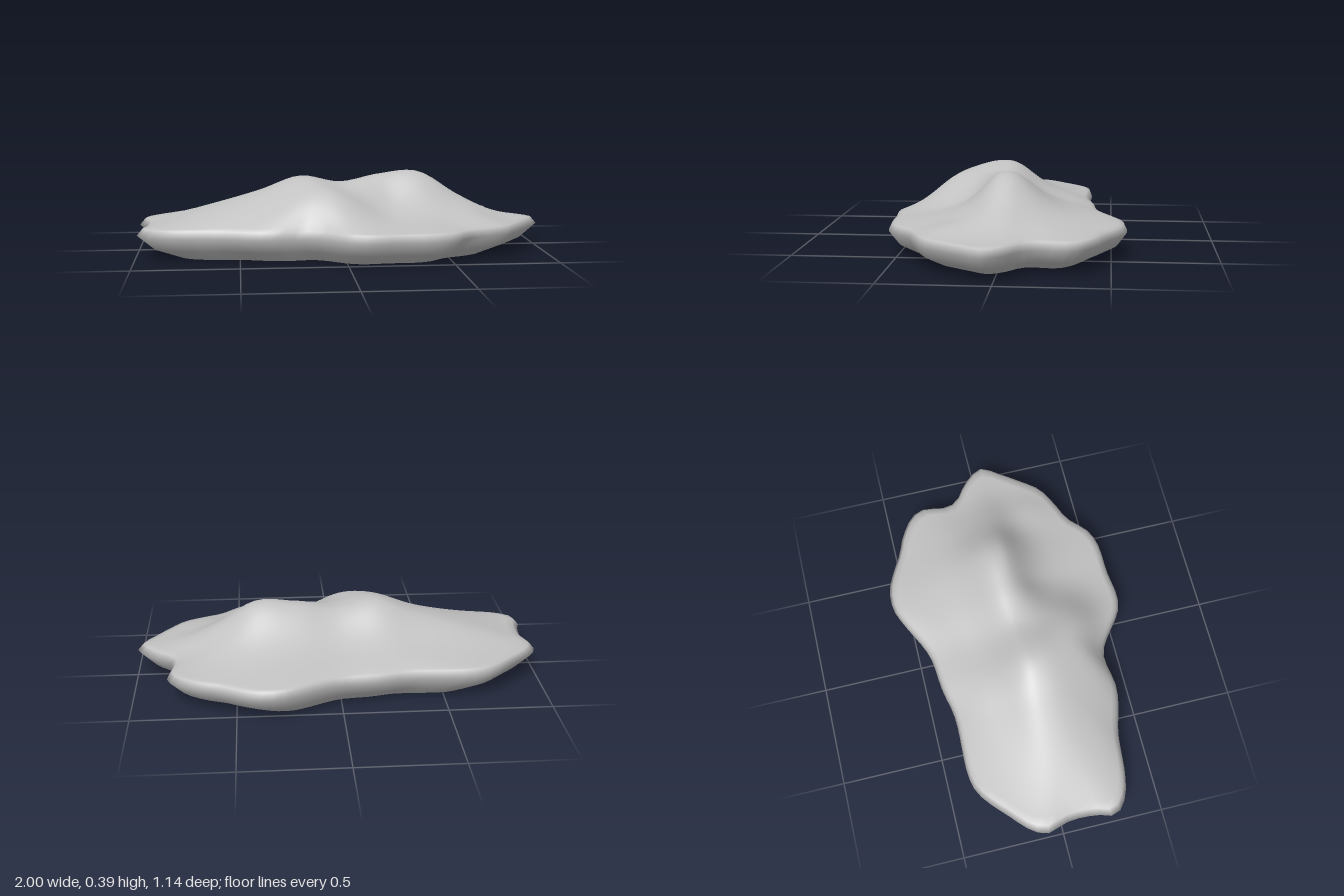
import * as THREE from 'three';

const SEG = 96;        // points around the outline
const TOP_RINGS = 24;  // rings from rim to centre
const RIM_Y = 0.15;
const LIP = 0.97;

// Plan outline as [x, z], from the right tip round the front
const OUTLINE = [
  [0.998, 0.05], [0.95, 0.13], [0.88, 0.23], [0.8, 0.33], [0.7, 0.385], [0.6, 0.43], [0.5, 0.52],
  [0.41, 0.55], [0.25, 0.555], [0.1, 0.57], [0.02, 0.55], [-0.05, 0.5], [-0.14, 0.435],
  [-0.2, 0.415], [-0.36, 0.435], [-0.46, 0.42], [-0.6, 0.38], [-0.82, 0.355], [-0.93, 0.32],
  [-0.99, 0.26], [-0.97, 0.17], [-0.965, 0.05], [-0.975, 0], [-1, -0.08], [-0.97, -0.15],
  [-0.88, -0.24], [-0.74, -0.36], [-0.65, -0.39], [-0.33, -0.39], [-0.18, -0.42], [0, -0.44],
  [0.08, -0.47], [0.2, -0.53], [0.3, -0.57], [0.41, -0.57], [0.5, -0.535], [0.6, -0.48],
  [0.7, -0.44], [0.8, -0.37], [0.83, -0.31], [0.815, -0.17], [0.85, -0.11], [0.93, -0.05],
];

// Ridge height above the rim, evenly spaced from x = -1 to x = 1
const ridge = new THREE.SplineCurve(
  [0.02, 0.05, 0.095, 0.15, 0.218, 0.185, 0.22, 0.23, 0.115, 0.03, 0.01]
    .map((h, i) => new THREE.Vector2(-1 + i * 0.2, h)));

const bump = (x, z, cx, cz, wx, wz) => Math.exp(-(((x - cx) / wx) ** 2) - ((z - cz) / wz) ** 2);

// Upper surface: a twin-peaked ridge, steep at front right, with a broad shoulder at front left
function heightAt(x, z, t) {
  const left = THREE.MathUtils.smoothstep(-x, -0.27, 0.14);
  const dz = z - 0.04 * left;
  const width = dz > 0 ? 0.15 + 0.13 * left : 0.19;
  const crest = ridge.getPoint(THREE.MathUtils.clamp((x + 1) / 2, 0, 1)).y;
  const h = crest / (1 + (Math.abs(dz) / width) ** 2.3)
    + 0.06 * bump(x, z, -0.04, 0.3, 0.17, 0.14)
    + 0.025 * bump(x, z, 0.68, 0.25, 0.12, 0.12);
  return RIM_Y + h * (1 - (t / LIP) ** 8);
}

export function createModel() {
  const group = new THREE.Group();
  group.name = 'rock';
  const stone = new THREE.MeshStandardMaterial({ color: 0xc2c2c2 });
  stone.name = 'light grey stone';

  const curve = new THREE.CatmullRomCurve3(
    OUTLINE.map(([x, z]) => new THREE.Vector3(x, 0, z)), true);
  const outline = curve.getSpacedPoints(SEG).slice(0, SEG);

  // Rings: undercut sides, widest edge, lip, then the upper surface to the centre
  const rings = [[0.79, 0], [0.925, 0.05], [1, 0.115], [LIP, RIM_Y]];
  for (let k = 1; k < TOP_RINGS; k++) rings.push([LIP * (1 - k / TOP_RINGS), null]);

  const positions = [];
  const index = [];
  rings.forEach(([t, y]) => outline.forEach((p) => {
    const x = p.x * t, z = p.z * t;
    positions.push(x, y === null ? heightAt(x, z, t) : y, z);
  }));
  const centre = rings.length * SEG;
  positions.push(0, heightAt(0, 0, 0), 0);

  for (let r = 0; r < rings.length; r++) {
    for (let i = 0; i < SEG; i++) {
      const a = r * SEG + i;
      const b = r * SEG + (i + 1) % SEG;
      if (r === rings.length - 1) index.push(a, centre, b);
      else index.push(a, a + SEG, b, b, a + SEG, b + SEG);
    }
  }
  const shell = new THREE.BufferGeometry();
  shell.setAttribute('position', new THREE.Float32BufferAttribute(positions, 3));
  shell.setIndex(index);
  shell.computeVertexNormals();
  const body = new THREE.Mesh(shell, stone);
  body.name = 'rockBody';

  // Flat underside
  const foot = new THREE.Shape(outline.map((p) => new THREE.Vector2(p.x * 0.79, p.z * 0.79)));
  const base = new THREE.Mesh(new THREE.ShapeGeometry(foot).rotateX(Math.PI / 2), stone);
  base.name = 'underside';

  group.add(body, base);
  return group;
}
